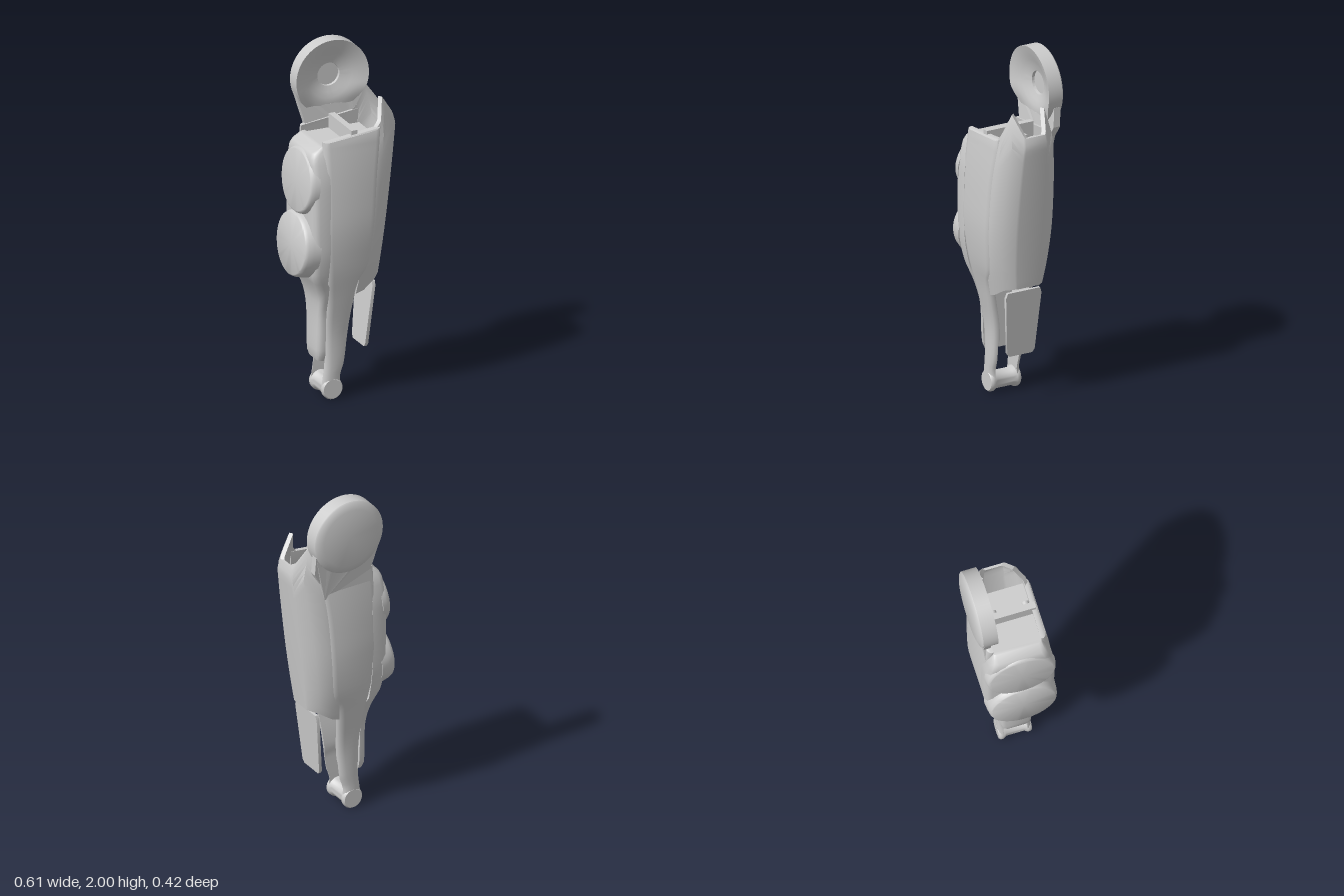
import * as THREE from 'three';
import { toCreasedNormals } from 'three/addons/utils/BufferGeometryUtils.js';

// Smooth interpolation through [y, value] pairs
function curve(table) {
  const slope = (i) => {
    const a = table[Math.max(i - 1, 0)], b = table[Math.min(i + 1, table.length - 1)];
    return (b[1] - a[1]) / (b[0] - a[0]);
  };
  return (y) => {
    let i = 0;
    while (i < table.length - 2 && y > table[i + 1][0]) i++;
    const [y0, v0] = table[i], [y1, v1] = table[i + 1], h = y1 - y0;
    const t = THREE.MathUtils.clamp((y - y0) / h, 0, 1), t2 = t * t, t3 = t2 * t;
    return v0 * (2 * t3 - 3 * t2 + 1) + v1 * (3 * t2 - 2 * t3)
      + slope(i) * h * (t3 - 2 * t2 + t) + slope(i + 1) * h * (t3 - t2);
  };
}

// Closed loft through loops of [x, y, z], bottom to top; point i faces point n-1-i in the end caps
function loft(loops, crease = 0.6) {
  const n = loops[0].length, pos = [];
  let area = 0;
  loops[0].forEach((p, i) => {
    const q = loops[0][(i + 1) % n];
    area += p[0] * q[2] - q[0] * p[2];
  });
  if (area > 0) loops = loops.map((l) => [...l].reverse());
  const quad = (a, b, c, d) => pos.push(...a, ...b, ...c, ...a, ...c, ...d);
  for (let j = 0; j < loops.length - 1; j++) {
    for (let i = 0; i < n; i++) {
      const k = (i + 1) % n;
      quad(loops[j][i], loops[j][k], loops[j + 1][k], loops[j + 1][i]);
    }
  }
  const lo = loops[0], hi = loops[loops.length - 1];
  for (let i = 0; i < n / 2 - 1; i++) {
    quad(hi[i], hi[i + 1], hi[n - 2 - i], hi[n - 1 - i]);
    quad(lo[n - 1 - i], lo[n - 2 - i], lo[i + 1], lo[i]);
  }
  const g = new THREE.BufferGeometry();
  g.setAttribute('position', new THREE.Float32BufferAttribute(pos, 3));
  return toCreasedNormals(g, crease);
}

const steps = (a, b, n) => Array.from({ length: n + 1 }, (_, i) => a + (b - a) * i / n);
const points = (list) => list.map(([r, a]) => new THREE.Vector2(r, a));
const MID = 0.008; // z of the limb's centre plane

export function createModel() {
  const model = new THREE.Group();
  model.name = 'mechanicalLimb';
  const grey = new THREE.MeshStandardMaterial({ color: 0xcccccc, side: THREE.DoubleSide });
  grey.name = 'grey';
  const add = (name, geometry, x = 0, y = 0, z = 0) => {
    const m = new THREE.Mesh(geometry, grey);
    m.name = name;
    m.position.set(x, y, z);
    model.add(m);
    return m;
  };

  const half = curve([[0, 0.093], [0.2, 0.093], [0.4, 0.1], [0.6, 0.137], [0.8, 0.18],
    [1, 0.201], [1.2, 0.199], [1.4, 0.185], [1.6, 0.158], [1.72, 0.13]]);
  const left = curve([[0.06, -0.14], [0.13, -0.13], [0.22, -0.12], [0.55, -0.125], [0.7, -0.14],
    [0.95, -0.163], [1.2, -0.165], [1.53, -0.165]]);
  const right = curve([[0.06, -0.02], [0.13, -0.03], [0.2, -0.008], [0.35, 0.01], [0.55, 0.03],
    [0.7, 0.055], [0.78, 0.098], [1, 0.125], [1.3, 0.148], [1.53, 0.178]]);

  // Side panels running down into the fork arms
  for (const side of [1, -1]) {
    const loops = steps(0.06, 1.53, 44).map((y) => {
      const l = left(y), r = right(y), o = half(y), e = o - 0.02;
      const i = o - (y < 0.3 ? 0.026 : 0.035);
      return [[l, i], [l, e], [l + 0.012, o - 0.006], [l + 0.035, o], [r - 0.035, o], [r - 0.012, o - 0.006],
        [r, e], [r, i]].map(([x, z]) => [x, y + (y > 1.5 ? Math.max(0, x - 0.08) * 0.45 : 0), MID + side * z]);
    });
    add(side > 0 ? 'frontSidePanel' : 'backSidePanel', loft(loops, 0.8));
  }

  // Rounded crossbar joining the fork arms, waisted between them
  const bar = new THREE.LatheGeometry(points([[0, -0.093], [0.054, -0.093], [0.061, -0.084], [0.061, -0.068],
    [0.05, -0.05], [0.05, 0.05], [0.061, 0.068], [0.061, 0.084], [0.054, 0.093], [0, 0.093]]), 32).rotateX(Math.PI / 2);
  add('forkCrossbar', toCreasedNormals(bar, 0.9), -0.08, 0.066, MID);

  // Inner core filling the space between the panels
  add('innerCore', loft(steps(0.66, 1.49, 12).map((y) => {
    const l = left(y) + 0.02, r = right(y) + 0.01, w = half(y) - 0.03;
    return [[l, y, MID + w], [r, y, MID + w], [r, y, MID - w], [l, y, MID - w]];
  })));

  // Channel-shaped shin cover with two raised horns
  const outerX = (y) => 0.2 + (y - 0.69) * 0.121 - Math.max(0, y - 1.55) * 0.42;
  // Columns: inset from the outer face, share of half width, bottom y, top y
  const columns = [[0.155, 0.965, 0.615, 1.56], [0.11, 0.95, 0.632, 1.6], [0.045, 0.77, 0.678, 1.72],
    [0.004, 0.45, 0.69, 1.615], [0, 0.38, 0.69, 1.6]];
  const section = (t, inset) => {
    const pts = columns.map(([dx, s, y0, y1]) => {
      const y = y0 + (y1 - y0) * t;
      return [outerX(y) - dx - inset * 0.8, y, half(y) * s - inset];
    });
    const mirrored = [...pts].reverse().map(([x, y, z]) => [x, y, MID - z]);
    return [...pts.map(([x, y, z]) => [x, y, MID + z]), ...mirrored];
  };
  add('shinCover', loft(steps(0, 1, 24).map((t) => [...section(t, 0), ...section(t, 0.018).reverse()]), 0.7));

  // Hanging flap under the cover
  add('lowerFlap', loft([[0.275, 0.122, 0.07], [0.295, 0.124, 0.085], [0.63, 0.155, 0.11], [0.66, 0.158, 0.1]]
    .map(([y, x, w]) => [[x - 0.009, y, MID + w], [x + 0.009, y, MID + w],
      [x + 0.009, y, MID - w], [x - 0.009, y, MID - w]])));

  // Calf shell widening from a narrow plate to the pack
  const calfX = curve([[0.23, -0.155], [0.27, -0.165], [0.58, -0.165], [0.67, -0.19], [0.76, -0.225],
    [1.1, -0.238], [1.43, -0.235], [1.47, -0.22], [1.5, -0.175]]);
  const calfW = curve([[0.23, 0.07], [0.27, 0.085], [0.5, 0.098], [0.62, 0.13], [0.76, 0.17],
    [0.92, 0.195], [1.28, 0.194], [1.43, 0.168], [1.5, 0.14]]);
  add('calfShell', loft(steps(0.23, 1.5, 40).map((y) => {
    const x = calfX(y), w = calfW(y), xi = y < 0.7 ? -0.122 : -0.14, b = Math.min(0.035, (xi - x) * 0.6);
    return [[xi, w], [x + b, w], [x + b * 0.3, w - b * 0.3], [x, w - b],
      [x, b - w], [x + b * 0.3, b * 0.3 - w], [x + b, -w], [xi, -w]].map(([px, z]) => [px, y, MID + z]);
  }), 0.8));

  // Two tilted round pods on the calf
  const podProfile = points([[0, -0.09], [0.194, -0.09], [0.191, -0.05], [0.186, -0.02], [0.179, -0.004],
    [0.173, 0], [0, 0]]);
  [['upperPod', -0.258, 1.28, 0.6], ['lowerPod', -0.288, 0.915, 1]].forEach(([name, x, y, depth]) => {
    const pod = add(name, toCreasedNormals(new THREE.LatheGeometry(podProfile, 48), 0.7), x, y, MID);
    pod.rotation.z = Math.PI / 2 - 0.097;
    pod.scale.set(0.98, depth, 1.03);
  });

  // Dished joint disc, its rim melting into the neck at the bottom
  const disc = new THREE.LatheGeometry(points([[0, -0.213], [0.17, -0.213], [0.21, -0.2], [0.216, -0.193],
    [0.216, -0.11], [0.19, -0.119], [0.16, -0.13], [0.13, -0.143], [0.1, -0.155], [0.066, -0.165],
    [0.064, -0.18], [0, -0.18]]), 64).rotateX(Math.PI / 2);
  const p = disc.attributes.position;
  for (let i = 0; i < p.count; i++) {
    const k = THREE.MathUtils.smoothstep(-p.getY(i), 0.06, 0.2);
    if (p.getZ(i) > -0.155) p.setZ(i, THREE.MathUtils.lerp(p.getZ(i), -0.148, k));
  }
  add('jointDisc', toCreasedNormals(disc, 0.6), 0.016, 1.784, 0);

  // Neck joining the disc to the back side panel, leaning inward at its foot
  const neck = new THREE.Shape();
  neck.moveTo(-0.155, 1.42);
  neck.lineTo(-0.135, 1.53);
  neck.lineTo(-0.187, 1.71);
  neck.absarc(0.016, 1.784, 0.165, Math.PI + 0.46, 2 * Math.PI - 0.46, false);
  neck.lineTo(0.22, 1.71);
  neck.lineTo(0.225, 1.6);
  neck.lineTo(0.185, 1.53);
  neck.lineTo(0.155, 1.42);
  const neckGeometry = new THREE.ExtrudeGeometry(neck, { depth: 0.04, bevelEnabled: false });
  const q = neckGeometry.attributes.position;
  for (let i = 0; i < q.count; i++) {
    q.setZ(i, q.getZ(i) + 0.018 * THREE.MathUtils.clamp((1.65 - q.getY(i)) / 0.15, 0, 1));
  }
  neckGeometry.computeVertexNormals();
  add('neck', neckGeometry, 0, 0, -0.188);

  // Top hinge bar and small pins
  add('hingeBar', new THREE.BoxGeometry(0.036, 0.09, 0.29), 0.017, 1.53, 0.02);
  for (const z of [-0.06, 0.125]) {
    add('hingePin', new THREE.CylinderGeometry(0.02, 0.02, 0.04, 20).rotateZ(Math.PI / 2), 0.052, 1.5, z);
  }
  return model;
}
